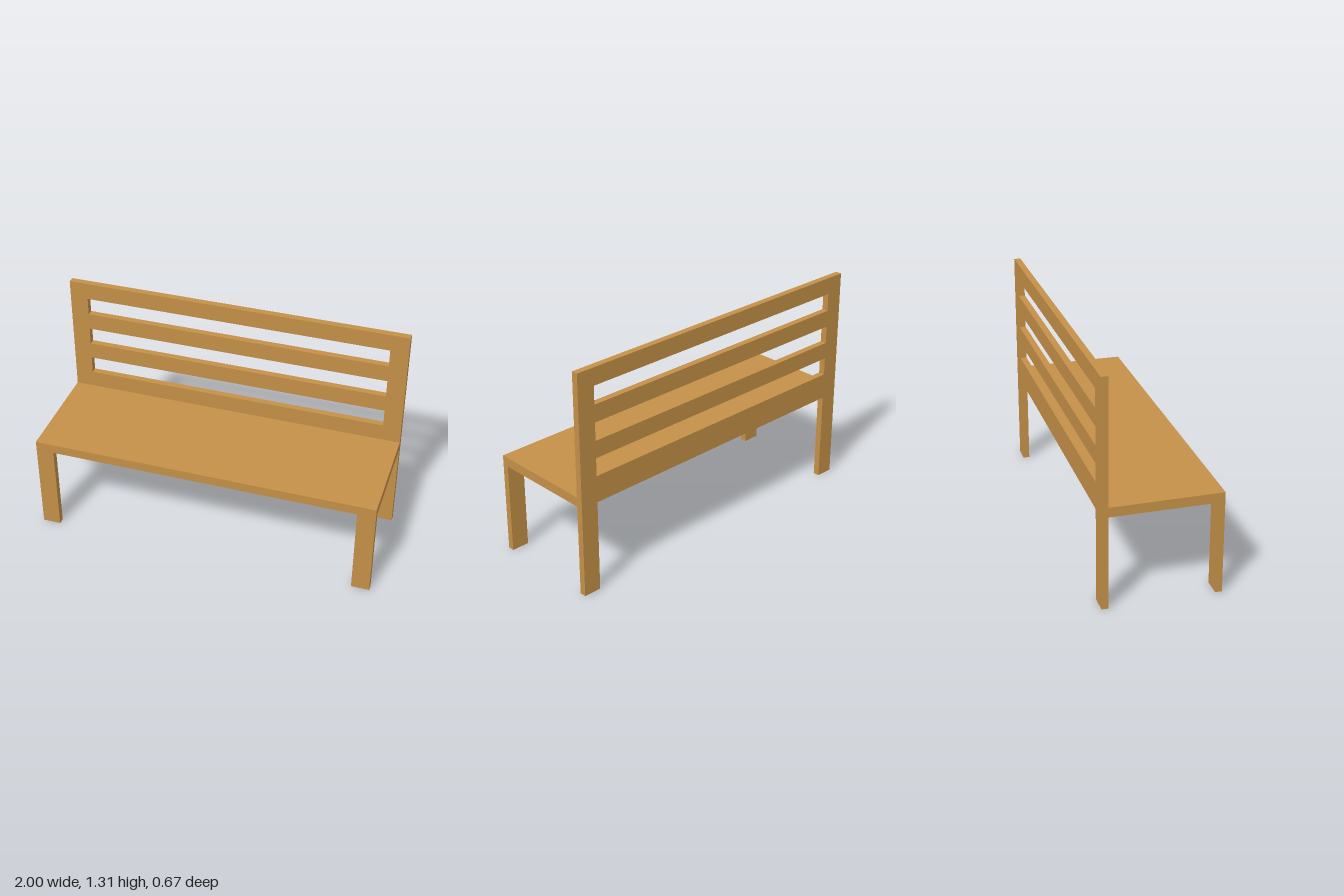
import * as THREE from 'three';

const H = 1.307, SEAT_BOTTOM = 0.537, SEAT_TOP = 0.592;
const HALF_DEPTH = 0.333, BOARD = 0.038, INNER = 0.895;

export function createModel() {
  const bench = new THREE.Group();
  bench.name = 'bench';
  const wood = new THREE.MeshStandardMaterial({ color: 0xc49048 });
  wood.name = 'wood';

  const add = (name, geometry, x, y, z) => {
    const mesh = new THREE.Mesh(geometry, wood);
    mesh.name = name;
    mesh.position.set(x, y, z);
    bench.add(mesh);
  };

  // Back panel with the rear legs in one piece, pierced by three long slots
  const outline = new THREE.Shape([
    [-1, 0], [-INNER, 0], [-INNER, SEAT_BOTTOM], [INNER, SEAT_BOTTOM],
    [INNER, 0], [1, 0], [1, H], [-1, H],
  ].map(([x, y]) => new THREE.Vector2(x, y)));
  for (let i = 0; i < 3; i++) {
    const y0 = 0.692 + i * 0.205, y1 = y0 + 0.105;
    outline.holes.push(new THREE.Path([
      [-INNER, y0], [-INNER, y1], [INNER, y1], [INNER, y0],
    ].map(([x, y]) => new THREE.Vector2(x, y))));
  }
  add('backrestAndRearLegs',
    new THREE.ExtrudeGeometry(outline, { depth: BOARD, bevelEnabled: false }),
    0, 0, -HALF_DEPTH);

  // Seat board
  const seatDepth = 2 * HALF_DEPTH - BOARD;
  add('seat', new THREE.BoxGeometry(2, SEAT_TOP - SEAT_BOTTOM, seatDepth),
    0, (SEAT_TOP + SEAT_BOTTOM) / 2, HALF_DEPTH - seatDepth / 2);

  // Front legs
  const legWidth = 1 - INNER;
  for (const side of [-1, 1]) {
    add(side > 0 ? 'leftFrontLeg' : 'rightFrontLeg',
      new THREE.BoxGeometry(legWidth, SEAT_BOTTOM, BOARD),
      side * (1 - legWidth / 2), SEAT_BOTTOM / 2, HALF_DEPTH - BOARD / 2);
  }
  return bench;
}
